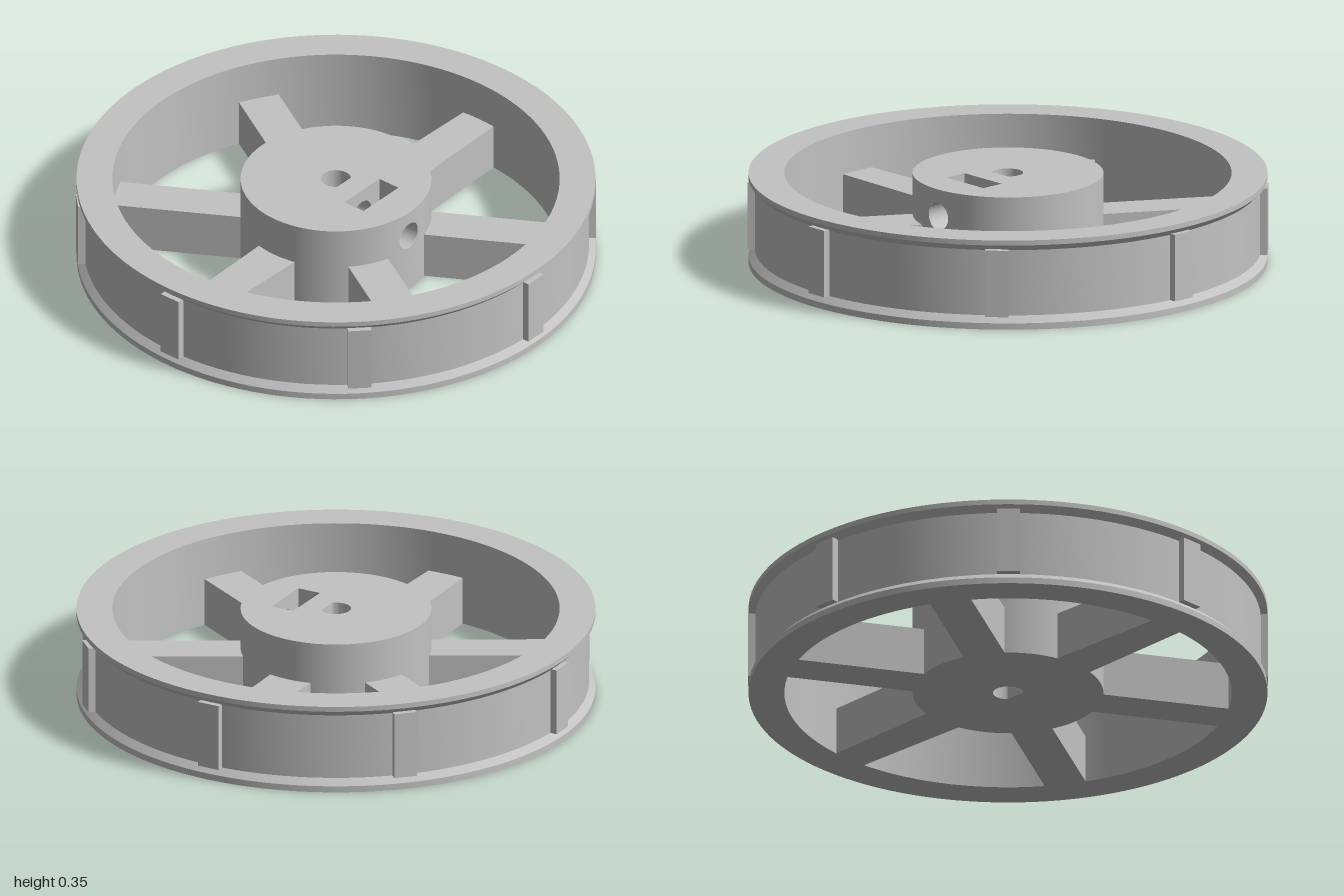
import * as THREE from 'three';
import { toCreasedNormals } from 'three/addons/utils/BufferGeometryUtils.js';

const H = 0.355;                       // overall height
const HUB_R = 0.367, BORE_R = 0.058, BORE_FLAT = 0.04;
const HOLE_R = 0.055, HOLE_Y = 0.247;  // set screw hole along +x
const SLOT = { x0: 0.13, x1: 0.225, w: 0.105, floor: 0.16 };

const grey = new THREE.MeshStandardMaterial({ color: 0xc2c2c2, side: THREE.DoubleSide });
grey.name = 'grey plastic';

function part(parent, name, geometry) {
  const mesh = new THREE.Mesh(geometry, grey);
  mesh.name = name;
  parent.add(mesh);
  return mesh;
}

// Upright wall facing x, pierced by the screw hole; xAt(z) bends it.
function piercedWall(halfWidth, y0, y1, xAt) {
  const n = 24, zs = [];
  for (let k = 0; k <= n; k++) zs.push(-HOLE_R * Math.cos((k * Math.PI) / n));
  if (halfWidth > HOLE_R) { zs.unshift(-halfWidth); zs.push(halfWidth); }
  const pos = [], idx = [];
  for (const z of zs) {
    const h = Math.sqrt(Math.max(0, HOLE_R * HOLE_R - z * z));
    for (const y of [y0, HOLE_Y - h, HOLE_Y + h, y1]) pos.push(xAt(z), y, z);
  }
  for (let i = 0; i < zs.length - 1; i++) {
    for (const j of [0, 2]) {
      const a = i * 4 + j, b = a + 4;
      idx.push(a, a + 1, b, b, a + 1, b + 1);
    }
  }
  const g = new THREE.BufferGeometry();
  g.setAttribute('position', new THREE.Float32BufferAttribute(pos, 3));
  g.setIndex(idx);
  g.computeVertexNormals();
  return g;
}

// Hub face with the D-shaped bore and, on top, the nut slot
function hubFace(withSlot) {
  const disc = new THREE.Shape().absarc(0, 0, HUB_R, 0, Math.PI * 2);
  const a = Math.acos(BORE_FLAT / BORE_R);
  disc.holes.push(new THREE.Path().absarc(0, 0, BORE_R, a, Math.PI * 2 - a));
  if (withSlot) {
    const { x0, x1, w } = SLOT;
    disc.holes.push(new THREE.Path([[x0, -w], [x1, -w], [x1, w], [x0, w]]
      .map(p => new THREE.Vector2(...p))));
  }
  return new THREE.ShapeGeometry(disc, 72);
}

function tunnel(x0, x1) {
  return new THREE.CylinderGeometry(HOLE_R, HOLE_R, x1 - x0, 48, 1, true)
    .rotateZ(Math.PI / 2).translate((x0 + x1) / 2, HOLE_Y, 0);
}

function buildHub() {
  const hub = new THREE.Group();
  hub.name = 'hub';
  part(hub, 'hubTop', hubFace(true).rotateX(-Math.PI / 2).translate(0, H, 0));
  part(hub, 'hubBottom', hubFace(false).rotateX(Math.PI / 2));

  // Outer wall, with a pierced strip on the +x side
  const gap = Math.asin(HOLE_R / HUB_R);
  part(hub, 'hubWall', new THREE.CylinderGeometry(HUB_R, HUB_R, H, 72, 1, true,
    Math.PI / 2 + gap, Math.PI * 2 - 2 * gap).translate(0, H / 2, 0));
  part(hub, 'hubWallPierced', piercedWall(HOLE_R, 0, H, z => Math.sqrt(HUB_R ** 2 - z * z)));

  // D-shaped bore
  part(hub, 'boreRound', new THREE.CylinderGeometry(BORE_R, BORE_R, H, 32, 1, true,
    Math.PI, Math.PI).translate(0, H / 2, 0));
  part(hub, 'boreFlat', piercedWall(BORE_R, 0, H,
    z => Math.min(BORE_FLAT, Math.sqrt(Math.max(0, BORE_R ** 2 - z * z)))));

  // Nut slot
  const { x0, x1, w, floor } = SLOT;
  const cx = (x0 + x1) / 2;
  for (const x of [x0, x1]) part(hub, 'slotSide', piercedWall(w, floor, H, () => x));
  for (const z of [-w, w]) {
    part(hub, 'slotEnd', new THREE.PlaneGeometry(x1 - x0, H - floor)
      .translate(cx, (H + floor) / 2, z));
  }
  part(hub, 'slotFloor', new THREE.PlaneGeometry(x1 - x0, 2 * w)
    .rotateX(-Math.PI / 2).translate(cx, floor, 0));

  // Screw hole, interrupted by the slot
  part(hub, 'screwHoleInner', tunnel(BORE_FLAT, x0));
  part(hub, 'screwHoleOuter', tunnel(x1, 0.363));
  return hub;
}

// Tapered bar along +x
function spokeGeometry(innerWidth, outerWidth) {
  const a = innerWidth / 2, b = outerWidth / 2;
  const outline = new THREE.Shape([[0.34, -a], [0.88, -b], [0.88, b], [0.34, a]]
    .map(p => new THREE.Vector2(...p)));
  return new THREE.ExtrudeGeometry(outline, { depth: 0.19, bevelEnabled: false })
    .rotateX(-Math.PI / 2);
}

export function createModel() {
  const wheel = new THREE.Group();
  wheel.name = 'wheel';

  // Rim with two chamfered flanges
  const profile = [[0.86, 0], [0.998, 0], [0.998, 0.025], [0.973, 0.05], [0.973, 0.31],
    [0.998, 0.335], [0.998, H], [0.86, H], [0.86, 0]].map(p => new THREE.Vector2(...p));
  part(wheel, 'rim', toCreasedNormals(new THREE.LatheGeometry(profile, 120), 0.5));

  // Grip ribs in the groove
  for (let i = 0; i < 8; i++) {
    const rib = part(wheel, 'gripRib',
      new THREE.BoxGeometry(0.04, 0.265, 0.09).translate(0.98, 0.1825, 0));
    rib.rotation.y = (i * Math.PI) / 4;
  }

  // Six spokes; the pair along z tapers outward
  for (let i = 0; i < 6; i++) {
    const alongZ = i % 3 === 1;
    const spoke = part(wheel, 'spoke', alongZ ? spokeGeometry(0.178, 0.15) : spokeGeometry(0.163, 0.163));
    spoke.rotation.y = Math.PI / 6 + (i * Math.PI) / 3;
  }

  wheel.add(buildHub());
  return wheel;
}
